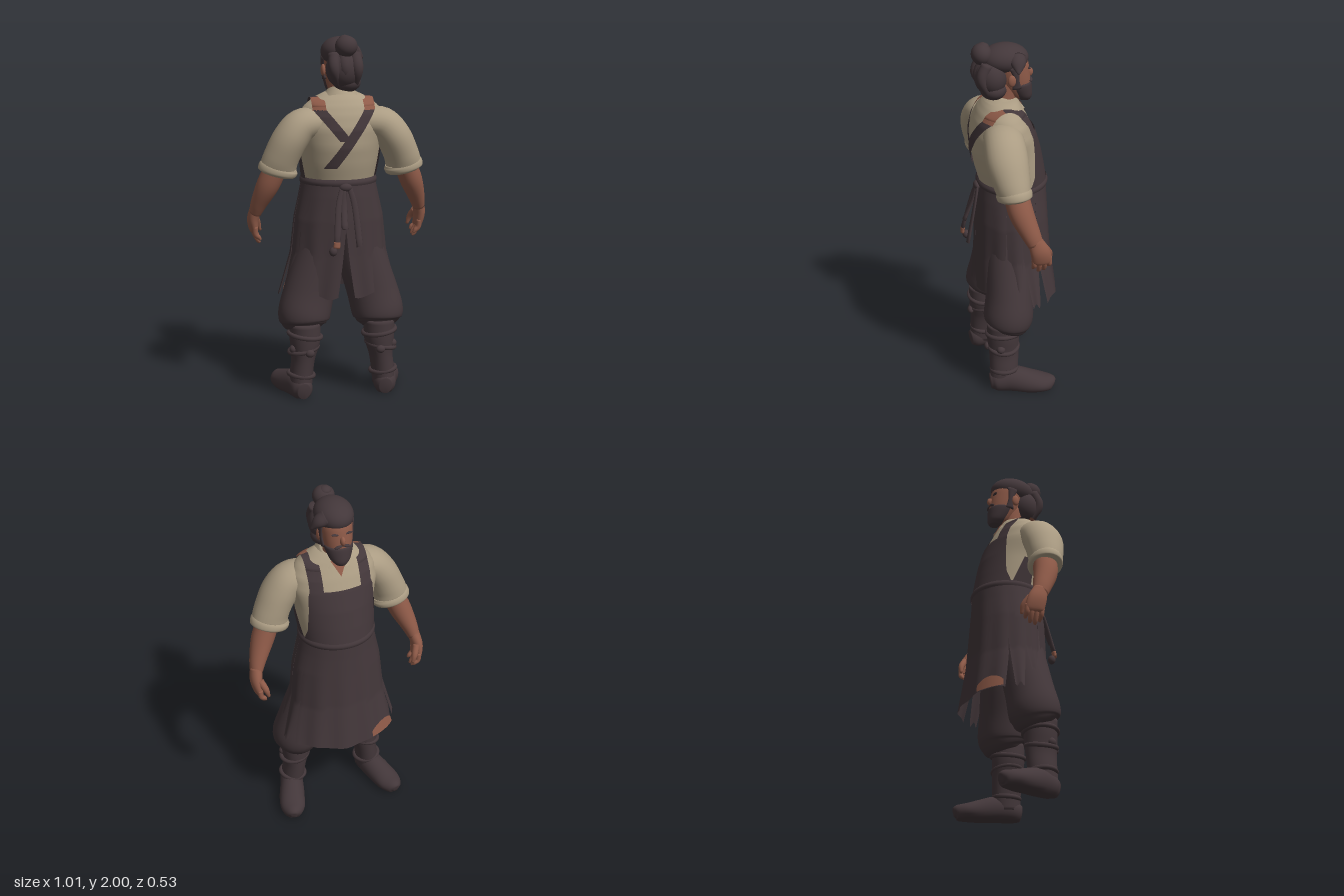
import * as THREE from 'three';
import { ParametricGeometry } from 'three/addons/geometries/ParametricGeometry.js';

const mat = (name, color) => {
  const m = new THREE.MeshStandardMaterial({ color, side: THREE.DoubleSide });
  m.name = name;
  return m;
};
const V = (x, y, z) => new THREE.Vector3(x, y, z);
const lerp = THREE.MathUtils.lerp;
const rad = THREE.MathUtils.degToRad;

// Smooth closed tube through rows of [x, y, z, radiusU, radiusV]; y never drops below the ground
function loft(rows, { ref = V(0, 0, 1), axis = null, steps = 5, seg = 28 } = {}) {
  const path = new THREE.CatmullRomCurve3(rows.map(r => V(r[0], r[1], r[2])), false, 'catmullrom');
  const size = new THREE.CatmullRomCurve3(rows.map(r => V(r[3], r[4], 0)), false, 'catmullrom');
  const n = (rows.length - 1) * steps, pos = [], idx = [];
  for (let i = 0; i <= n; i++) {
    const p = path.getPoint(i / n), s = size.getPoint(i / n);
    const t = axis || path.getTangent(i / n);
    const u = t.clone().cross(ref).normalize(), v = t.clone().cross(u).normalize();
    for (let j = 0; j < seg; j++) {
      const a = j / seg * Math.PI * 2;
      const q = p.clone().addScaledVector(u, Math.cos(a) * s.x).addScaledVector(v, Math.sin(a) * s.y);
      pos.push(q.x, Math.max(q.y, 0), q.z);
      if (i < n) {
        const k = (j + 1) % seg, A = i * seg + j, B = i * seg + k;
        idx.push(A, B, A + seg, B, B + seg, A + seg);
      }
    }
  }
  const c0 = pos.length / 3, last = n * seg;
  for (const t of [0, 1]) { const p = path.getPoint(t); pos.push(p.x, p.y, p.z); }
  for (let j = 0; j < seg; j++) {
    const k = (j + 1) % seg;
    idx.push(c0, k, j, c0 + 1, last + j, last + k);
  }
  const g = new THREE.BufferGeometry();
  g.setAttribute('position', new THREE.Float32BufferAttribute(pos, 3));
  g.setIndex(idx);
  g.computeVertexNormals();
  return g;
}
const sheet = (fn, nu = 16, nv = 16) =>
  new ParametricGeometry((u, v, t) => t.copy(fn(u, v)), nu, nv);

// Profiles by height: [y, half width, front z, back z]
const TORSO = [[1.12, .19, -.18, .15], [1.2, .196, -.195, .16], [1.3, .21, -.178, .188], [1.4, .222, -.158, .207],
  [1.5, .245, -.128, .207], [1.57, .235, -.1, .19], [1.62, .2, -.075, .168], [1.66, .15, -.055, .14], [1.69, .085, -.04, .11]];
const SKIRT = [[.5, .345, -.265, .205], [.55, .335, -.258, .202], [.8, .268, -.226, .192], [1, .248, -.213, .188],
  [1.12, .222, -.206, .18], [1.22, .202, -.202, .168]];
function profile(rows, y) {
  let i = 0;
  while (i < rows.length - 2 && y > rows[i + 1][0]) i++;
  const a = rows[i], b = rows[i + 1], t = (y - a[0]) / (b[0] - a[0]);
  const [w, f, k] = [1, 2, 3].map(c => lerp(a[c], b[c], t));
  return { w, mid: (f + k) / 2, d: (k - f) / 2 };
}
// Point at an angle (0 = toward the face side, 90 = +x) and height
function around(rows, deg, y, off = 0) {
  const p = profile(rows, y), a = rad(deg);
  return V((p.w + off) * Math.sin(a), y, p.mid - (p.d + off) * Math.cos(a));
}
// Point on the chest (side -1) or back (side 1) above x, y
function onTorso(x, y, side, off = .009) {
  const p = profile(TORSO, y);
  return V(x, y, p.mid + side * (p.d * Math.sqrt(Math.max(0, 1 - (x / p.w) ** 2)) + off));
}

export function createModel() {
  const root = new THREE.Group();
  const dark = mat('darkLeather', 0x43373a), shirt = mat('linen', 0xab9c83), skin = mat('skin', 0x8e5a48);
  const add = (name, geo, m) => {
    const o = new THREE.Mesh(geo, m);
    o.name = name;
    root.add(o);
    return o;
  };
  const ball = (name, m, x, y, z, rx, ry, rz) => {
    const o = add(name, new THREE.SphereGeometry(1, 28, 20), m);
    o.position.set(x, y, z);
    o.scale.set(rx, ry, rz);
    return o;
  };
  const up = V(0, 1, 0);

  // Shirt body, collar and open neck
  const ys = [1.12, 1.16, 1.2, 1.25, 1.3, 1.35, 1.4, 1.45, 1.5, 1.535, 1.57, 1.595, 1.62, 1.64, 1.66, 1.69];
  add('shirtBody', loft(ys.map(y => { const p = profile(TORSO, y); return [0, y, p.mid, p.w, p.d]; }),
    { axis: up, steps: 2, seg: 48 }), shirt);
  add('collar', sheet((u, v) => {
    const a = rad(lerp(20, 340, u)), r = lerp(.105, .072, v);
    return V(r * Math.sin(a), 1.655 + .045 * v - .03 * Math.cos(a), .028 - r * 1.08 * Math.cos(a));
  }, 30, 3), shirt);
  add('openNeck', sheet((u, v) => onTorso((u - .5) * .09 * v, lerp(1.585, 1.665, v), -1, .005), 6, 6), skin);
  add('neck', loft([[0, 1.6, .04, .06, .065], [0, 1.69, .02, .058, .062], [0, 1.78, .01, .06, .07]]), skin);

  // Head, beard and features
  add('head', loft([[0, 1.675, -.065, .03, .04], [0, 1.7, -.052, .052, .062], [0, 1.76, -.034, .074, .084],
    [0, 1.83, -.018, .084, .094], [0, 1.89, -.006, .084, .094], [0, 1.94, .005, .06, .07]], { axis: up }), skin);
  add('beard', loft([[0, 1.665, -.088, .03, .03], [0, 1.69, -.075, .053, .052], [0, 1.73, -.058, .07, .068],
    [0, 1.762, -.046, .078, .077], [0, 1.772, -.044, .074, .074]], { axis: up }), dark);
  ball('nose', skin, 0, 1.813, -.112, .015, .026, .022);
  for (const s of [-1, 1]) {
    ball('ear', skin, s * .088, 1.805, .005, .013, .032, .022);
    ball('eyebrow', dark, s * .036, 1.85, -.101, .022, .006, .008).rotation.z = s * .12;
    ball('moustache', dark, s * .02, 1.783, -.112, .024, .008, .012).rotation.z = -s * .3;
    add('sideburn', loft([[s * .074, 1.755, -.025, .012, .025], [s * .083, 1.81, -.022, .01, .014], [s * .086, 1.88, -.01, .012, .03]]), dark);
  }

  // Hair with top knot
  ball('hairCap', dark, 0, 1.905, .022, .102, .08, .128);
  ball('hairBack', dark, .008, 1.815, .1, .1, .105, .088);
  ball('hairNape', dark, .025, 1.745, .09, .075, .055, .07);
  ball('topKnot', dark, .008, 1.94, .148, .06, .057, .055);
  ball('knotTop', dark, .002, 1.975, .14, .034, .025, .034);
  ball('knotWrap', dark, 0, 1.91, .11, .055, .045, .05);
  add('looseLock', loft([[.06, 1.92, -.03, .04, .045], [.1, 1.9, -.025, .03, .04], [.138, 1.862, -.018, .005, .008]]), dark);
  for (const [x, w] of [[-.055, .03], [0, .034], [.06, .032]])
    add('hairLock', loft([[x, 1.9, .13, w, .03], [x * 1.1, 1.82, .162, w, .03], [x * .8 + .012, 1.73, .12, w * .6, .02]]), dark);

  for (const s of [-1, 1]) {
    // Sleeve with rolled cuff
    add('sleeve', loft([[s * .12, 1.53, .07, .08, .1], [s * .22, 1.515, .082, .092, .108], [s * .285, 1.445, .085, .096, .112],
      [s * .332, 1.35, .075, .096, .1], [s * .352, 1.285, .065, .1, .088]]), shirt);
    add('rolledCuff', loft([[s * .343, 1.305, .067, .098, .086], [s * .349, 1.285, .065, .108, .094],
      [s * .354, 1.262, .063, .105, .092], [s * .357, 1.25, .062, .085, .075]]), shirt);
    // Forearm and hand
    add('forearm', loft([[s * .36, 1.29, .06, .062, .066], [s * .403, 1.19, .04, .062, .066], [s * .445, 1.09, .002, .046, .052],
      [s * .464, 1.03, -.022, .034, .042]]), skin);
    add('palm', loft([[s * .462, 1.05, -.018, .033, .04], [s * .474, .99, -.042, .032, .052], [s * .47, .935, -.055, .025, .053],
      [s * .464, .915, -.056, .016, .045]]), skin);
    [-.012, -.04, -.068, -.094].forEach((z, i) => {
      const tip = [.875, .855, .86, .88][i];
      add('finger', loft([[s * .468, .95, z, .016, .015], [s * .464, .91, z - .003, .015, .014],
        [s * .447, tip + .015, z - .004, .013, .013], [s * .436, tip, z - .002, .006, .006]], { seg: 12 }), skin);
    });
    add('thumb', loft([[s * .46, 1.0, -.075, .02, .02], [s * .438, .955, -.105, .017, .017], [s * .424, .91, -.112, .008, .008]], { seg: 12 }), skin);

    // Baggy trouser leg
    add('trouserLeg', loft([[s * .09, .95, .01, .11, .13], [s * .13, .75, .03, .135, .13], [s * .18, .58, .045, .142, .13],
      [s * .21, .46, .058, .145, .138], [s * .214, .41, .065, .125, .122], [s * .214, .38, .075, .09, .09]]), dark);
    // Boot shaft, foot and straps
    add('bootShaft', loft([[s * .212, .42, .09, .085, .09], [s * .212, .32, .09, .085, .09], [s * .222, .22, .088, .066, .084],
      [s * .233, .13, .09, .064, .08], [s * .238, .05, .095, .062, .078]]), dark);
    add('bootFoot', loft([[s * .232, .045, .172, .035, .045], [s * .236, .05, .135, .06, .065], [s * .252, .06, .06, .068, .078],
      [s * .285, .045, -.04, .074, .068], [s * .306, .038, -.115, .07, .052], [s * .318, .035, -.165, .045, .042],
      [s * .322, .03, -.182, .015, .02]], { ref: up }), dark);
    for (const [y, r, t] of [[.35, .09, .15], [.27, .08, -.2], [.125, .07, .12]]) {
      const b = add('bootStrap', new THREE.TorusGeometry(r, .013, 8, 32), dark);
      b.position.set(s * (.212 + (.35 - y) * .1), y, .09);
      b.rotation.set(Math.PI / 2, t * s, 0);
    }
    ball('bootBuckle', dark, s * .28, .28, .12, .025, .025, .025);
    ball('bootKnot', dark, s * .2, .265, .178, .025, .022, .018);
  }

  // Apron skirt panels: [middle angle, width, hem height, slit top, taper]
  const panels = [[0, 130, .545, .75, .08]];
  for (const s of [-1, 1])
    panels.push([s * 78, 26, .56, .85, .55], [s * 103, 24, .66, .82, .6], [s * 147.5, 65, .58, .96, .25]);
  for (const [mid, w, hem, slit, taper] of panels)
    add('apronPanel', sheet((u, v) => {
      const y = lerp(hem + .012 * Math.sin(u * 9 + mid), 1.22, v);
      const k = 1 - taper * Math.max(0, (slit - y) / (slit - hem));
      const fold = .005 * Math.sin(u * w * .2) * (1 - v);
      return around(SKIRT, mid + (u - .5) * w * k, y, fold);
    }, 24, 24), dark);
  add('hemPatch', sheet((u, v) => {
    const y = .555 + .07 * v * Math.pow(Math.sin(Math.PI * lerp(.05, .95, u)), .4);
    return around(SKIRT, lerp(-58, -24, u), y, .008);
  }, 16, 4), skin);
  add('waistBand', sheet((u, v) => around(SKIRT, u * 360, 1.19 + .035 * v, .004 + .006 * Math.sin(v * Math.PI)), 48, 5), dark);

  // Bib and side wraps
  add('bib', sheet((u, v) => {
    const y = lerp(1.18, 1.52, v), half = v < .3 ? lerp(80, 60, v / .3) : lerp(60, 43, (v - .3) / .7);
    return around(TORSO, (u * 2 - 1) * half, y, .011);
  }, 32, 16), dark);
  for (const s of [-1, 1])
    add('sideWrap', sheet((u, v) => around(TORSO, s * lerp(lerp(72, 84, v), lerp(112, 100, v), u), lerp(1.18, 1.37, v), .009), 8, 8), dark);

  // Shoulder straps, crossing on the back
  const W = .068;
  const strap = (name, m, x0, y0, x1, y1, side) =>
    add(name, sheet((u, v) => onTorso(lerp(x0, x1, v) + (u - .5) * W, lerp(y0, y1, v), side, .01), 4, 16), m);
  for (const s of [-1, 1]) {
    const x = s * .138;
    strap('frontStrap', dark, x, 1.5, x, 1.62, -1);
    const over = (name, m, t0, t1) => add(name, sheet((u, v) => {
      const t = lerp(t0, t1, v), px = x + (u - .5) * W;
      const p = onTorso(px, 1.62, -1, .01).lerp(onTorso(px, 1.62, 1, .01), t);
      p.y += (.062 - Math.abs(px) * .1) * Math.pow(Math.sin(Math.PI * t), .7);
      return p;
    }, 4, 12), m);
    over('shoulderStrap', dark, 0, .6);
    over('shoulderPatch', skin, .6, 1);
    strap('backPatch', skin, x, 1.62, x, 1.6, 1);
  }
  strap('backStrapLong', dark, .138, 1.605, -.085, 1.29, 1);
  strap('backStrapShort', dark, -.138, 1.605, -.005, 1.44, 1);

  // Apron ties hanging behind
  ball('tieKnot', dark, 0, 1.185, .18, .035, .022, .018);
  for (const [x0, x1, end] of [[-.02, -.062, .9], [.02, .062, .87], [-.01, -.02, .97]])
    add('apronTie', loft([[x0, 1.185, .18, .014, .008], [lerp(x0, x1, .6), 1.08, .205, .017, .008],
      [x1, end, .248, .018, .01]], { seg: 12 }), dark);
  add('tieTip', loft([[-.062, .902, .247, .0185, .011], [-.066, .868, .25, .0185, .011]], { seg: 12 }), skin);
  ball('tieEnd', dark, -.08, .845, .225, .022, .025, .02);

  return root;
}
